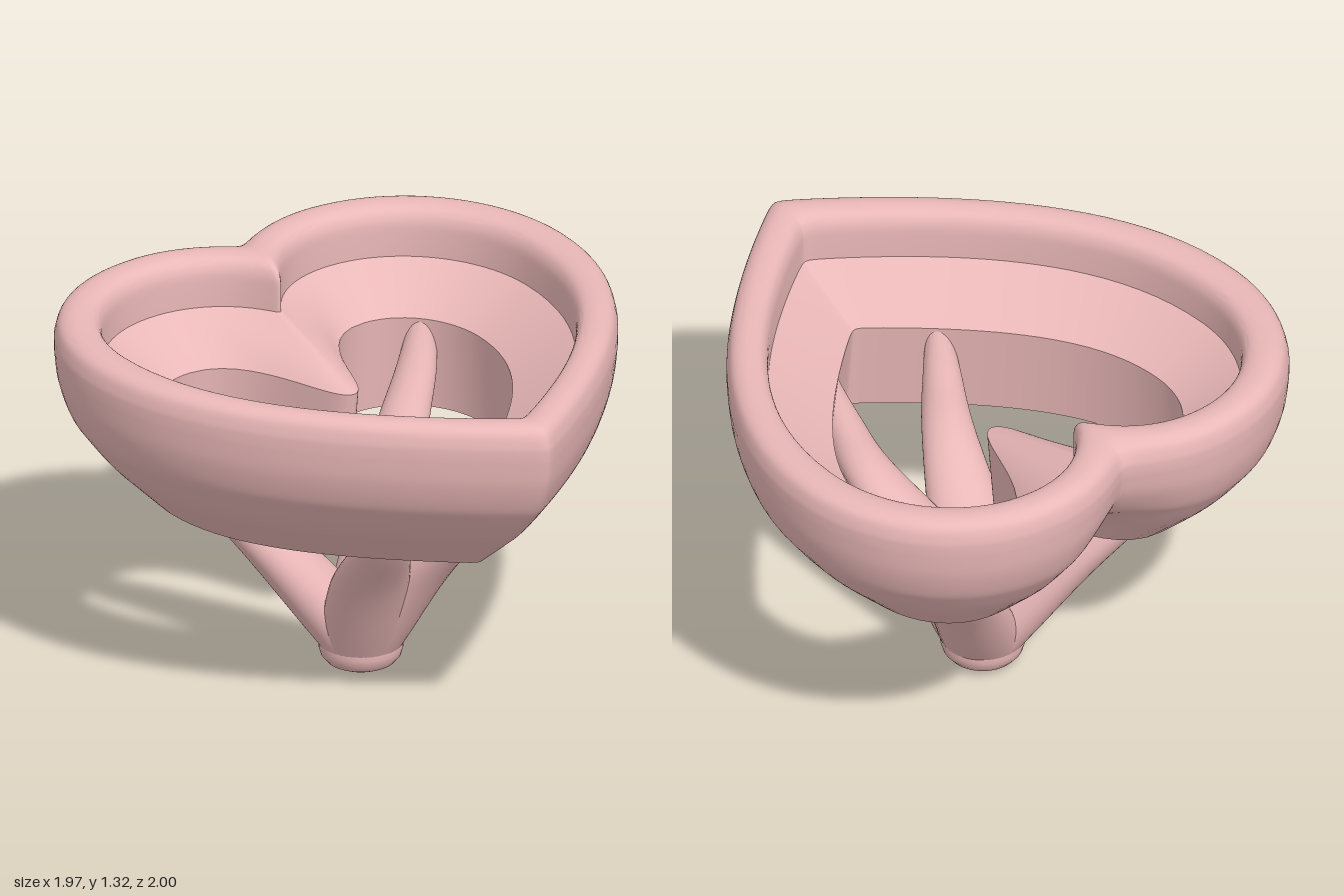
import * as THREE from 'three';
import { toCreasedNormals } from 'three/addons/utils/BufferGeometryUtils.js';

// Half-heart Bezier control points (x, z), from cleft round the lobe to the tip
const OUTER = [[0, -0.875], [0.1, -0.95], [0.22, -1], [0.36, -1], [0.71, -1], [0.985, -0.71], [0.985, -0.33], [0.985, 0.2], [0.53, 0.65], [0, 1.012]];
const INNER = [[0, -0.6], [0.06, -0.75], [0.2, -0.84], [0.36, -0.84], [0.61, -0.84], [0.82, -0.62], [0.82, -0.33], [0.82, 0.16], [0.45, 0.52], [0, 0.825]];
const OPENING = [[0, -0.18], [0.1, -0.18], [0.1, -0.64], [0.36, -0.64], [0.51, -0.64], [0.62, -0.5], [0.62, -0.33], [0.62, 0], [0.36, 0.27], [0, 0.565]];
const BASE = [[0, -0.22], [0.1, -0.225], [0.1, -0.66], [0.36, -0.66], [0.53, -0.66], [0.65, -0.515], [0.65, -0.33], [0.65, 0.02], [0.375, 0.3], [0, 0.597]];

// Closed heart outline part-way between two hearts, with softened cleft and tip
function heartRing(from, to, t, y, cleftRound) {
  const p = from.map(([x, z], i) => new THREE.Vector2(
    THREE.MathUtils.lerp(x, to[i][0], t), THREE.MathUtils.lerp(z, to[i][1], t)));
  // each segment: sample count, spacing, slope at the corner, rounding size
  const segments = [
    [24, u => u * u, (p[0].y - p[1].y) / p[1].x, cleftRound],
    [20, u => u, 0, 0],
    [36, u => 1 - (1 - u) ** 2, (p[9].y - p[8].y) / p[8].x, 0.018],
  ];
  const half = [];
  segments.forEach(([n, ease, slope, round], s) => {
    const curve = new THREE.CubicBezierCurve(...p.slice(s * 3, s * 3 + 4));
    for (let i = s ? 1 : 0; i <= n; i++) {
      const q = curve.getPoint(ease(i / n));
      half.push(new THREE.Vector3(q.x, y, q.y - slope * (Math.hypot(q.x, round) - q.x)));
    }
  });
  const mirrored = half.slice(1, -1).reverse().map(q => new THREE.Vector3(-q.x, y, q.z));
  return [...half, ...mirrored];
}

// Skin a list of closed rings; closed joins the last ring to the first
function loft(rings, closed) {
  const n = rings[0].length;
  const index = [];
  const spans = closed ? rings.length : rings.length - 1;
  for (let j = 0; j < spans; j++) {
    const k = (j + 1) % rings.length;
    for (let i = 0; i < n; i++) {
      const i2 = (i + 1) % n;
      const a = j * n + i, b = k * n + i, c = j * n + i2, d = k * n + i2;
      index.push(a, b, c, c, b, d);
    }
  }
  const geo = new THREE.BufferGeometry().setFromPoints(rings.flat());
  geo.setIndex(index);
  return toCreasedNormals(geo, 0.6);
}

// Smooth [a, b] points through a short profile
function smoothProfile(points, n) {
  return new THREE.SplineCurve(points.map(p => new THREE.Vector2(...p))).getPoints(n);
}

// Tapered leg through [x, y, z, radius] stations with level round sections
function legGeometry(stations, side) {
  const path = new THREE.CatmullRomCurve3(
    stations.map(([x, y, z]) => new THREE.Vector3(side * x, y, z)), false, 'catmullrom');
  const rings = smoothProfile(stations.map(s => [s[3], s[1]]), 24).map(({ x: r }, j) => {
    const c = path.getPoint(j / 24);
    return Array.from({ length: 40 }, (_, i) => {
      const a = (i / 40) * Math.PI * 2;
      return new THREE.Vector3(c.x + r * Math.cos(a), c.y, c.z + r * Math.sin(a));
    });
  });
  return loft(rings, false);
}

export function createModel() {
  const group = new THREE.Group();
  const material = new THREE.MeshStandardMaterial({ color: 0xe9b7b7 });
  const add = (name, geometry) => {
    const mesh = new THREE.Mesh(geometry, material);
    mesh.name = name;
    group.add(mesh);
    return mesh;
  };

  // Bowl wall: flares from the base outline up to the full heart
  const wall = smoothProfile([[1, 0.66], [0.73, 0.75], [0.47, 0.84], [0.24, 0.94],
    [0.13, 1.0], [0.035, 1.1], [0, 1.2]], 30);
  const rings = wall.map(p => heartRing(OUTER, BASE, Math.max(p.x, 0), p.y, 0.03));
  // Bowl rim: rounds over from the outer to the inner heart
  const rim = smoothProfile([[0, 1.225], [0.012, 1.25], [0.11, 1.295], [0.34, 1.316],
    [0.63, 1.316], [0.86, 1.3], [0.975, 1.265], [1, 1.22]], 28);
  rings.push(...rim.map(p => heartRing(OUTER, INNER, Math.max(p.x, 0), p.y, 0.03 - 0.02 * p.x)));
  // Bowl seat: slopes in to the opening, whose wall drops to the base outline
  for (let i = 0; i <= 8; i++) {
    rings.push(heartRing(INNER, OPENING, i / 8, 1.14 - 0.0175 * i, 0.01));
  }
  add('heartBowl', loft(rings, true));

  // Four legs rising from the foot into the bowl wall
  const frontLeg = [[0, 0.09, -0.135, 0.145], [0.085, 0.4, 0.045, 0.135], [0.18, 0.66, 0.27, 0.09],
    [0.22, 0.83, 0.35, 0.065], [0.25, 1.0, 0.41, 0.04]];
  const backLeg = [[0, 0.09, -0.135, 0.145], [0.205, 0.4, -0.3, 0.127], [0.4, 0.66, -0.472, 0.092],
    [0.51, 0.83, -0.545, 0.07], [0.575, 1.0, -0.597, 0.045]];
  for (const [label, side] of [['left', 1], ['right', -1]]) {
    add(label + 'FrontLeg', legGeometry(frontLeg, side));
    add(label + 'BackLeg', legGeometry(backLeg, side));
  }

  // Rounded foot
  const footProfile = [[0, 0], [0.05, 0.002], [0.09, 0.011], [0.12, 0.026], [0.138, 0.048],
    [0.146, 0.075], [0.146, 0.1], [0, 0.1]].map(p => new THREE.Vector2(...p));
  const foot = add('foot', toCreasedNormals(new THREE.LatheGeometry(footProfile, 48), 0.7));
  foot.position.z = -0.135;

  return group;
}
